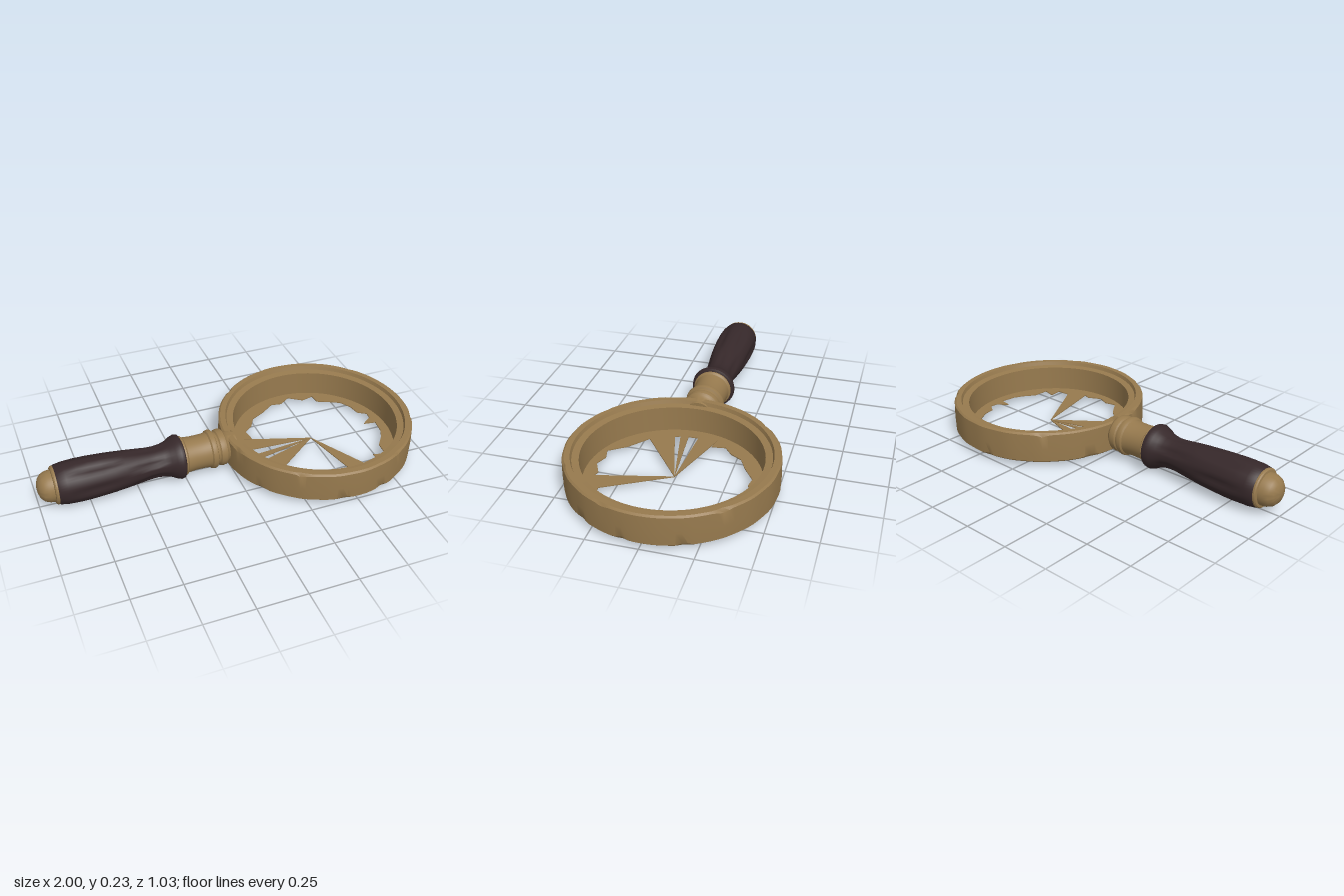
import * as THREE from 'three';
import { toCreasedNormals } from 'three/addons/utils/BufferGeometryUtils.js';

const AXIS_Y = 0.117;   // height of the handle axis
const RING_X = 0.488;   // centre of the hoop
const BASE_Y = 0.026;
const TOP_Y = 0.187;

const v2 = (list) => list.map(([a, b]) => new THREE.Vector2(a, b));

export function createModel() {
  const model = new THREE.Group();
  const brass = new THREE.MeshStandardMaterial({ color: 0x977a4e });
  brass.name = 'aged brass';
  const wood = new THREE.MeshStandardMaterial({ color: 0x36282a });
  wood.name = 'dark wood';

  const add = (name, geometry, material, crease = 0.6) => {
    const mesh = new THREE.Mesh(toCreasedNormals(geometry, crease), material);
    mesh.name = name;
    model.add(mesh);
    return mesh;
  };

  // Turned part along the x axis, profile given as [x, radius]
  const turned = (name, profile, material, deform) => {
    const geo = new THREE.LatheGeometry(v2(profile.map(([x, r]) => [r, x])), 48);
    geo.rotateZ(-Math.PI / 2);
    if (deform) deform(geo.attributes.position);
    add(name, geo, material).position.y = AXIS_Y;
  };

  // Hoop: stepped closed profile, then chipped along its outer edges
  const hoop = new THREE.LatheGeometry(v2([
    [0.43, BASE_Y], [0.5, BASE_Y], [0.509, BASE_Y + 0.008],
    [0.511, 0.1], [0.509, TOP_Y - 0.008], [0.5, TOP_Y],
    [0.472, TOP_Y], [0.466, 0.168], [0.432, 0.164], [0.43, BASE_Y],
  ]), 120);
  // [angle in degrees, half width, depth, edge: -1 bottom, 1 top]
  const chips = [
    [9, 4, 0.014, -1], [35, 5, 0.012, -1], [73, 4, 0.016, -1], [98, 5, 0.012, -1],
    [122, 4, 0.012, 1], [146, 4, 0.012, -1], [200, 5, 0.014, -1], [228, 4, 0.012, 1],
    [262, 4, 0.01, -1], [318, 5, 0.012, 1], [338, 4, 0.014, -1], [20, 4, 0.01, 1],
    [165, 5, 0.012, 1], [60, 4, 0.008, 1],
  ];
  const p = hoop.attributes.position;
  for (let i = 0; i < p.count; i++) {
    const x = p.getX(i), y = p.getY(i), z = p.getZ(i), r = Math.hypot(x, z);
    let s = 1, dy = 0;
    if (r > 0.49) {
      const deg = (Math.atan2(z, x) * 180 / Math.PI + 360) % 360;
      s -= 0.004 * (0.5 + 0.5 * Math.sin(deg * Math.PI / 9)) * Math.abs(Math.sin(deg * Math.PI / 180));
      for (const [a, w, d, edge] of chips) {
        const f = Math.max(0, 1 - Math.abs(deg - a) / w);
        const onEdge = edge < 0 ? y < 0.05 : y > 0.16;
        if (onEdge && r > 0.505) { s -= f * d * 0.3; dy -= edge * f * d; }
        else if (onEdge) s -= f * d;
      }
    }
    p.setXYZ(i, x * s, y + dy, z * s * 1.014);
  }
  add('hoop', hoop, brass).position.x = RING_X;

  // Jagged floor around the broken opening, points as [x, z] from the hoop centre
  const jagged = [
    [0.03, -0.4], [0.1, -0.35], [0.165, -0.365], [0.17, -0.31], [0.235, -0.28], [0.29, -0.25],
    [0.325, -0.19], [0.335, -0.13], [0.38, -0.1], [0.375, -0.06], [0.32, -0.02], [0.385, -0.01],
    [0.375, 0.07], [0.35, 0.12], [0.305, 0.18], [0.3, 0.26], [0.235, 0.245], [0.24, 0.31],
    [0.17, 0.315], [0.08, 0.37], [0.05, 0.36], [-0.02, 0.395], [-0.08, 0.37], [-0.14, 0.385],
    [-0.2, 0.3], [-0.3, 0.215], [-0.35, 0.14], [-0.35, 0.1], [-0.37, 0.06], [-0.37, -0.02],
    [-0.375, -0.125], [-0.31, -0.11], [-0.32, -0.18], [-0.27, -0.22], [-0.235, -0.28],
    [-0.165, -0.315], [-0.085, -0.37], [-0.03, -0.36],
  ];
  const plate = (name, shape) => {
    const geo = new THREE.ExtrudeGeometry(shape, { depth: 0.005, bevelEnabled: false, curveSegments: 60 });
    geo.rotateX(Math.PI / 2); // shape y becomes z
    add(name, geo, brass).position.set(RING_X, BASE_Y + 0.006, 0);
  };
  const floor = new THREE.Shape().absarc(0, 0, 0.434, 0, Math.PI * 2);
  floor.holes.push(new THREE.Path(v2(jagged)));
  plate('jaggedFloor', floor);

  // Slivers reaching from the floor to the centre
  const tip = [-0.01, -0.005];
  [
    [[-0.39, -0.13], [-0.39, -0.025]],
    [[-0.39, 0.03], [-0.39, 0.075]],
    [[-0.38, 0.105], [-0.31, 0.222]],
    [[0.18, 0.335], [0.085, 0.385]],
  ].forEach(([a, b], i) => plate('sliver' + (i + 1), new THREE.Shape(v2([tip, a, b]))));

  // Wooden grip with shallow carved hollows
  turned('grip', [
    [-0.912, 0], [-0.912, 0.09], [-0.9, 0.1], [-0.86, 0.107], [-0.8, 0.11], [-0.74, 0.109],
    [-0.68, 0.106], [-0.62, 0.102], [-0.56, 0.096], [-0.5, 0.089], [-0.44, 0.082], [-0.4, 0.08],
    [-0.36, 0.084], [-0.33, 0.093], [-0.305, 0.107], [-0.28, 0.116], [-0.265, 0.113],
    [-0.258, 0.1], [-0.258, 0],
  ], wood, (pos) => {
    for (let i = 0; i < pos.count; i++) {
      const x = pos.getX(i), y = pos.getY(i), z = pos.getZ(i);
      const t = THREE.MathUtils.clamp((x + 0.87) / 0.32, 0, 1);
      const u = THREE.MathUtils.clamp((x + 0.54) / 0.22, 0, 1);
      const a = Math.atan2(y, z) * 6;
      const hollow = Math.sin(t * Math.PI) * Math.max(0, Math.cos(a)) * 0.09
        + Math.sin(u * Math.PI) * Math.max(0, -Math.cos(a)) * 0.08;
      pos.setXYZ(i, x, y * (1 - hollow), z * (1 - hollow));
    }
  });

  // Rounded end cap with a raised band
  turned('endCap', [
    [-1, 0], [-0.997, 0.025], [-0.988, 0.05], [-0.97, 0.069], [-0.945, 0.079], [-0.922, 0.081],
    [-0.92, 0.092], [-0.914, 0.097], [-0.906, 0.097], [-0.9, 0.09], [-0.9, 0],
  ], brass);

  // Ferrule joining grip and hoop
  turned('ferrule', [
    [-0.27, 0], [-0.265, 0.1], [-0.25, 0.101], [-0.242, 0.092], [-0.2, 0.088], [-0.15, 0.088],
    [-0.118, 0.091], [-0.112, 0.099], [-0.1, 0.102], [-0.088, 0.099], [-0.083, 0.088],
    [-0.072, 0.086], [-0.066, 0.093], [-0.05, 0.096], [-0.035, 0.093], [-0.028, 0.083],
    [-0.01, 0.075], [0.03, 0.068], [0.03, 0],
  ], brass);

  return model;
}
